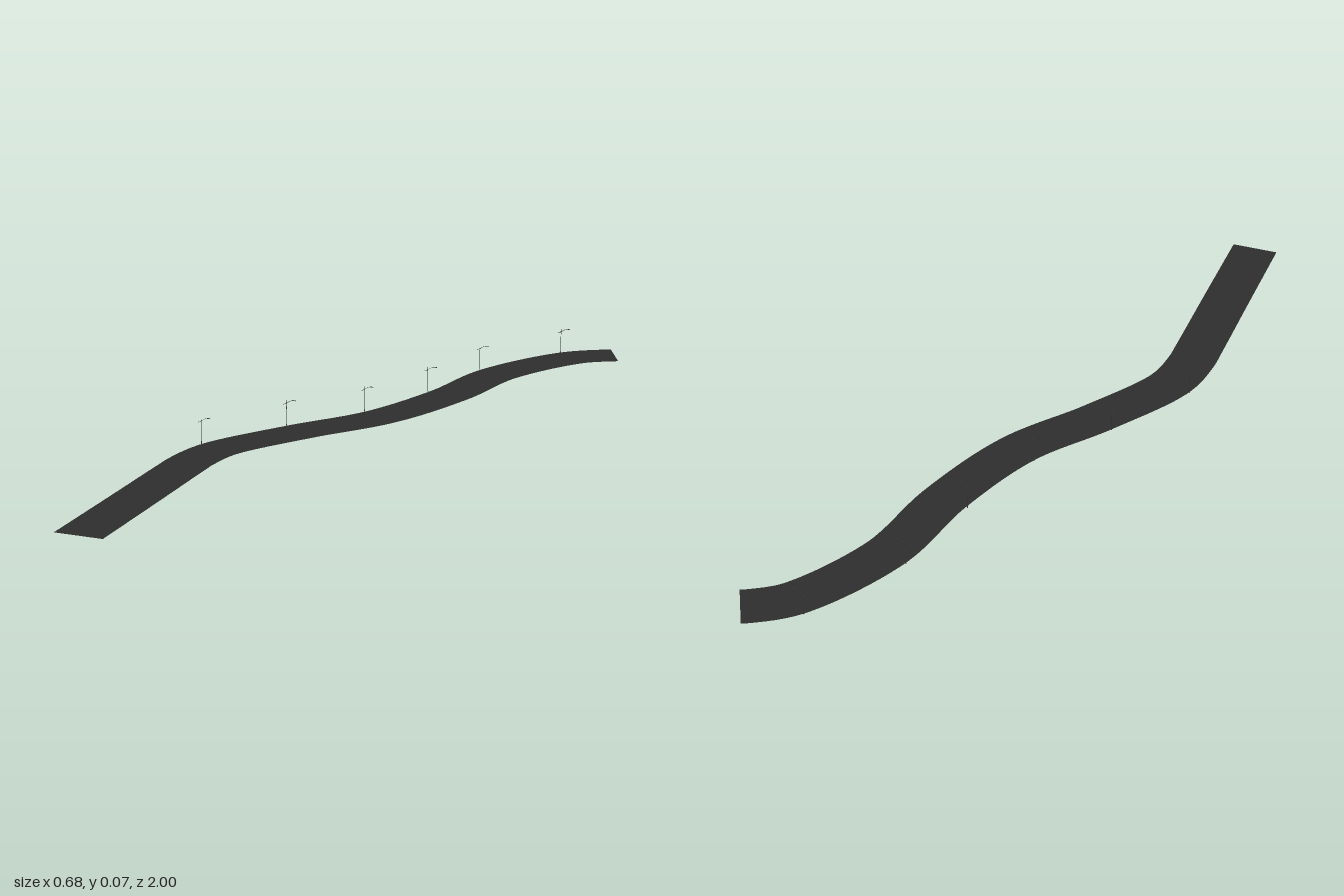
import * as THREE from 'three';

const asphalt = new THREE.MeshStandardMaterial({ color: 0x2e2e2e, side: THREE.DoubleSide });
asphalt.name = 'asphalt';
const metal = new THREE.MeshStandardMaterial({ color: 0x3c3c3c });
metal.name = 'dark metal';

// Centre line of the road as [x, z], from the front end to the back end
const centreLine = [
  [-0.24, 0.992], [-0.26, 0.7], [-0.277, 0.46], [-0.28, 0.40], [-0.266, 0.287],
  [-0.155, 0.075], [-0.027, -0.129], [0.052, -0.386], [0.09, -0.638],
  [0.209, -0.873], [0.288, -0.9375], [0.306, -0.948],
];
const HALF_WIDTH = 0.0615;

// Lamp bases along the road's right-hand edge as [x, z]
const lampSpots = [
  [-0.326, 0.27], [-0.207, 0.04], [-0.083, -0.157],
  [-0.013, -0.398], [0.027, -0.652], [0.16, -0.912],
];

// Flat ribbon swept along the centre line
function makeRoad() {
  const curve = new THREE.CatmullRomCurve3(
    centreLine.map(([x, z]) => new THREE.Vector3(x, 0, z)), false, 'centripetal');
  const steps = 120, positions = [], index = [];
  for (let i = 0; i <= steps; i++) {
    const p = curve.getPointAt(i / steps);
    const t = curve.getTangentAt(i / steps);
    for (const side of [-1, 1]) {
      positions.push(p.x - t.z * HALF_WIDTH * side, 0, p.z + t.x * HALF_WIDTH * side);
    }
    if (i < steps) {
      const a = i * 2;
      index.push(a, a + 1, a + 2, a + 1, a + 3, a + 2);
    }
  }
  const geometry = new THREE.BufferGeometry();
  geometry.setAttribute('position', new THREE.Float32BufferAttribute(positions, 3));
  geometry.setIndex(index);
  geometry.computeVertexNormals();
  const road = new THREE.Mesh(geometry, asphalt);
  road.name = 'road';
  return road;
}

function makeLamp() {
  const lamp = new THREE.Group();
  const add = (name, geometry, x, y) => {
    const mesh = new THREE.Mesh(geometry, metal);
    mesh.name = name;
    mesh.position.set(x, y, 0);
    lamp.add(mesh);
  };
  add('lampBase', new THREE.CylinderGeometry(0.0011, 0.0014, 0.004, 8), 0, 0.002);
  add('lampPole', new THREE.CylinderGeometry(0.0006, 0.0009, 0.067, 8), 0, 0.0335);
  // Slanted arm crossing the pole and levelling out over the road
  const arm = new THREE.CatmullRomCurve3([
    [-0.009, 0.055], [0, 0.0595], [0.01, 0.0655], [0.016, 0.068], [0.025, 0.0685],
  ].map(([x, y]) => new THREE.Vector3(x, y, 0)));
  add('lampArm', new THREE.TubeGeometry(arm, 16, 0.0005, 6), 0, 0);
  add('lampHead', new THREE.BoxGeometry(0.009, 0.0013, 0.002), 0.0215, 0.0684);
  add('armBracket', new THREE.BoxGeometry(0.003, 0.0015, 0.0015), -0.001, 0.0585);
  return lamp;
}

export function createModel() {
  const model = new THREE.Group();
  model.name = 'windingRoad';
  model.add(makeRoad());
  lampSpots.forEach(([x, z], i) => {
    const lamp = makeLamp();
    lamp.name = `streetLamp${i + 1}`;
    lamp.position.set(x, 0, z);
    model.add(lamp);
  });
  return model;
}
